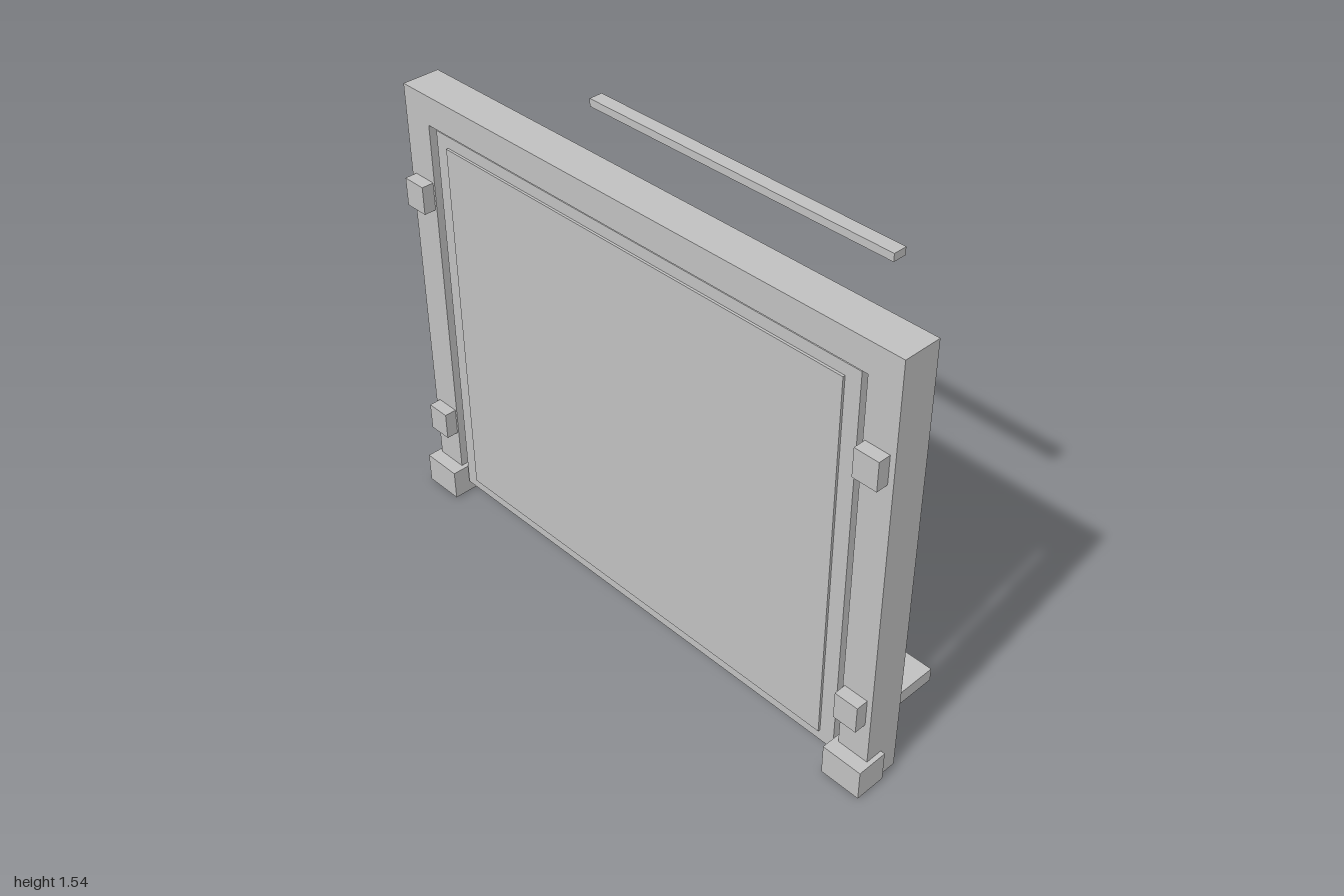
import * as THREE from 'three';

export function createModel() {
  const model = new THREE.Group();
  const grey = new THREE.MeshStandardMaterial({ color: 0xc0c0c0 });
  grey.name = 'light grey';

  // Box given by its limits along each axis
  function box(name, [x0, x1], [y0, y1], [z0, z1]) {
    const mesh = new THREE.Mesh(new THREE.BoxGeometry(x1 - x0, y1 - y0, z1 - z0), grey);
    mesh.position.set((x0 + x1) / 2, (y0 + y1) / 2, (z0 + z1) / 2);
    mesh.name = name;
    model.add(mesh);
  }

  // Portal frame: one extruded outline of two posts and a top beam
  const outline = new THREE.Shape([
    [-0.985, 0], [-0.875, 0], [-0.875, 1.44], [0.875, 1.44],
    [0.875, 0], [0.985, 0], [0.985, 1.54], [-0.985, 1.54],
  ].map(([z, y]) => new THREE.Vector2(z, y)));
  const frameGeometry = new THREE.ExtrudeGeometry(outline, { depth: 0.13, bevelEnabled: false });
  frameGeometry.rotateY(Math.PI / 2);
  const frame = new THREE.Mesh(frameGeometry, grey);
  frame.position.x = -0.208;
  frame.name = 'frame';
  model.add(frame);

  // Door leaf with a slightly raised plate on its back
  box('doorPanel', [-0.2, -0.095], [0.05, 1.43], [-0.85, 0.85]);
  box('backPlate', [-0.208, -0.2], [0.09, 1.39], [-0.797, 0.797]);

  // Shelf at the foot of the door and the free bar above it
  box('shelf', [-0.1, 0.252], [0.01, 0.058], [-0.85, 0.85]);
  box('upperBar', [0.203, 0.252], [1.455, 1.482], [-0.606, 0.606]);

  // Hinge blocks and feet on both posts
  for (const side of [-1, 1]) {
    const span = (a, b) => (side > 0 ? [a, b] : [-b, -a]);
    box('foot', [-0.255, -0.147], [0.003, 0.11], span(0.858, 1));
    for (const y of [0.252, 1.14]) {
      box('hingeBlock', [-0.25, -0.207], [y, y + 0.097], span(0.882, 0.966));
    }
  }
  return model;
}
